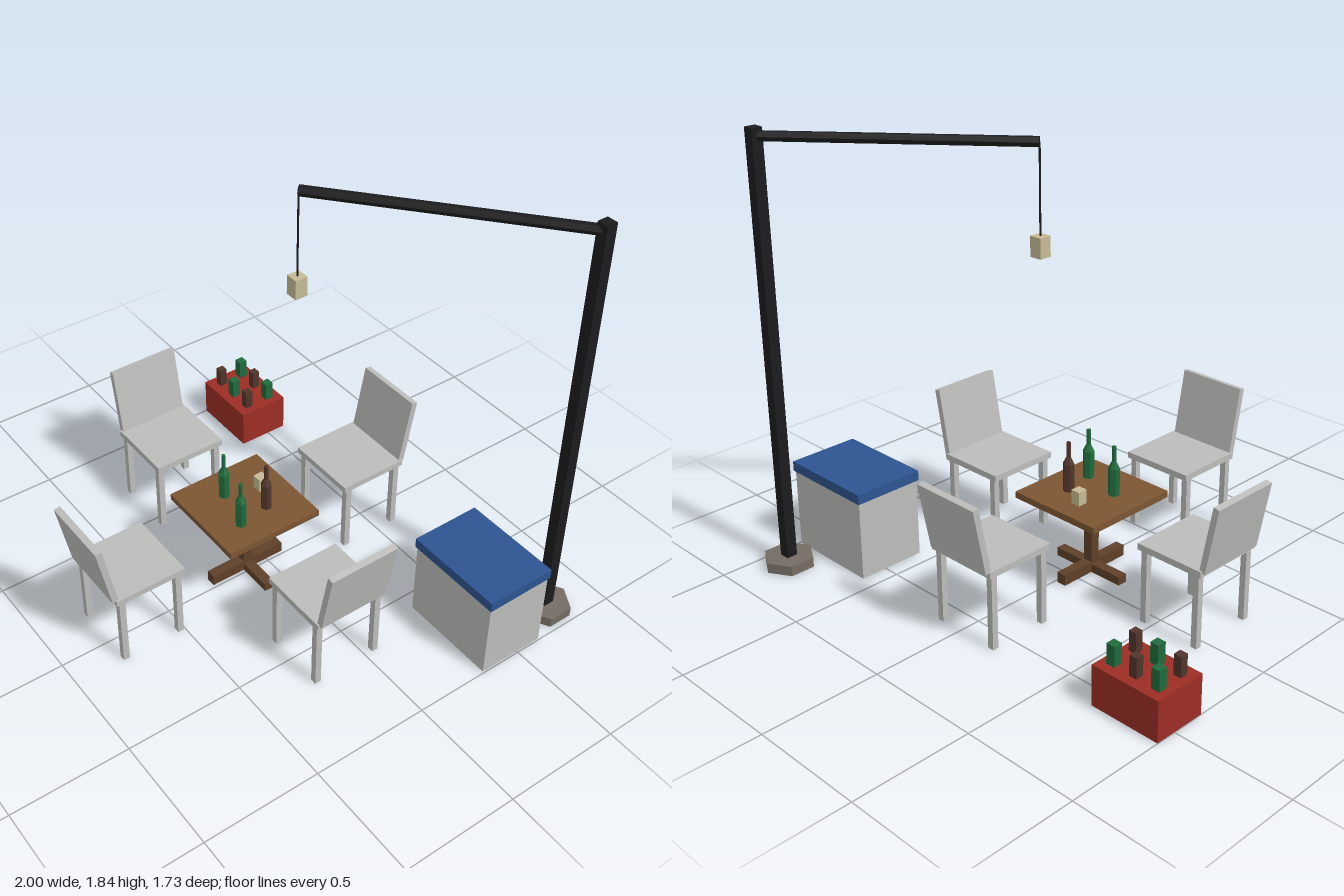
import * as THREE from 'three';

const mat = (name, color) => {
  const m = new THREE.MeshStandardMaterial({ color, flatShading: true });
  m.name = name;
  return m;
};

export function createModel() {
  const grey = mat('plastic grey', 0xbcbcba);
  const red = mat('crate red', 0x9c2d25);
  const blue = mat('lid blue', 0x2d5490);
  const black = mat('lamp black', 0x1c1c1e);
  const stone = mat('foot stone', 0x756c64);
  const beige = mat('lantern beige', 0xc6bb95);
  const wood = mat('table wood', 0x7d5633);
  const darkWood = mat('dark wood', 0x5f4028);
  const green = mat('bottle green', 0x1f6b3c);
  const brown = mat('bottle brown', 0x50352a);

  const model = new THREE.Group();
  model.name = 'outdoorSeating';

  const add = (parent, name, geometry, material, x = 0, y = 0, z = 0) => {
    const mesh = new THREE.Mesh(geometry, material);
    mesh.name = name;
    mesh.position.set(x, y, z);
    parent.add(mesh);
    return mesh;
  };
  // Box standing on height y
  const box = (parent, name, material, w, h, d, x, y, z) =>
    add(parent, name, new THREE.BoxGeometry(w, h, d), material, x, y + h / 2, z);
  const group = (name, x, z, parent = model) => {
    const g = new THREE.Group();
    g.name = name;
    g.position.set(x, 0, z);
    parent.add(g);
    return g;
  };

  // Table with crossed feet
  const table = group('table', -0.035, 0.095);
  box(table, 'tableTop', wood, 0.435, 0.028, 0.435, 0, 0.329, 0);
  box(table, 'tablePost', darkWood, 0.043, 0.3, 0.043, 0, 0.03, 0);
  box(table, 'footAcross', darkWood, 0.35, 0.037, 0.043, 0, 0, 0);
  box(table, 'footAlong', darkWood, 0.043, 0.047, 0.35, 0, 0, 0);

  // Four chairs around the table, each facing it
  for (let i = 0; i < 4; i++) {
    const chair = group('chair', -0.035, 0.095);
    chair.rotation.y = (i * Math.PI) / 2;
    box(chair, 'seat', grey, 0.325, 0.027, 0.31, 0, 0.314, 0.552);
    for (const x of [-0.142, 0.142])
      for (const z of [0.425, 0.68])
        box(chair, 'chairLeg', grey, 0.027, 0.316, 0.027, x, 0, z);
    const back = add(chair, 'backrest', new THREE.BoxGeometry(0.308, 0.29, 0.027), grey, 0, 0.476, 0.733);
    back.rotation.x = 0.19;
  }

  // Bottles and a candle block on the table
  const profile = [[0, 0], [0.024, 0], [0.024, 0.12], [0.009, 0.15], [0.009, 0.215], [0, 0.215]]
    .map(([r, y]) => new THREE.Vector2(r, y));
  const bottle = new THREE.LatheGeometry(profile, 6);
  for (const [x, z, m] of [[-0.118, 0.137, green], [0.064, 0.18, green], [0.038, 0.037, brown]])
    add(model, 'bottle', bottle, m, x, 0.357, z);
  box(model, 'candle', beige, 0.043, 0.06, 0.043, -0.07, 0.357, 0.013 - 0.027);

  // Cool box
  const cooler = group('coolBox', 0.781, -0.468);
  box(cooler, 'coolBoxBody', grey, 0.425, 0.342, 0.298, 0, 0, 0);
  box(cooler, 'coolBoxLid', blue, 0.438, 0.043, 0.31, 0, 0.342, 0);

  // Crate with two rows of bottles
  const crate = group('crate', -0.845, -0.473);
  box(crate, 'crateBody', red, 0.31, 0.17, 0.23, 0, 0, 0);
  for (let row = 0; row < 2; row++)
    for (let col = 0; col < 3; col++) {
      const isGreen = (row + col) % 2 === 0;
      const size = isGreen ? 0.038 : 0.034;
      box(crate, 'crateBottle', isGreen ? green : brown, size, 0.085, size,
        (col - 1) * 0.104, 0.17, -0.056 + row * 0.112);
    }

  // Hanging lamp: foot, pole, arm, cord and lantern
  const lamp = group('lamp', 0.885, -0.755);
  add(lamp, 'lampFoot', new THREE.CylinderGeometry(0.108, 0.108, 0.043, 6), stone, 0, 0.0215, 0);
  box(lamp, 'lampPole', black, 0.047, 1.841, 0.047, 0, -0.001, 0);
  const dx = -0.815, dz = 0.675;
  const armGeometry = new THREE.CylinderGeometry(0.021, 0.021, Math.hypot(dx, dz), 6)
    .rotateY(Math.PI / 6).rotateX(Math.PI / 2);
  const arm = add(lamp, 'lampArm', armGeometry, black, dx / 2, 1.806, dz / 2);
  arm.rotation.y = Math.atan2(dx, dz);
  add(lamp, 'cord', new THREE.CylinderGeometry(0.004, 0.004, 0.36, 6), black, dx, 1.625, dz);
  box(lamp, 'lantern', beige, 0.054, 0.082, 0.054, dx, 1.368, dz);

  return model;
}
